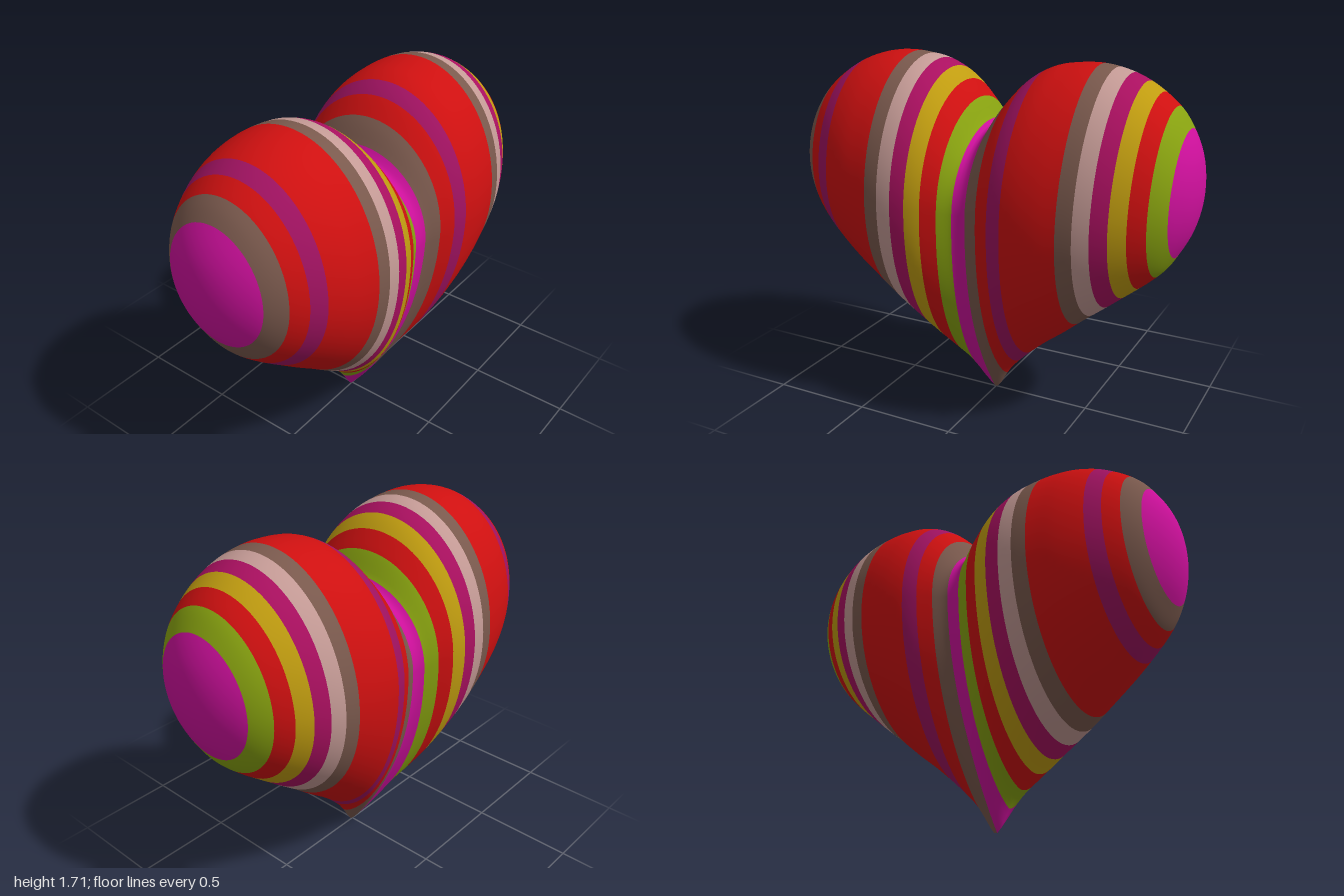
import * as THREE from 'three';

const colours = {
  red: 0xce1010, magenta: 0xce109c, brownGrey: 0x7a594d, dustyPink: 0xc49a95,
  raspberry: 0xaa1060, plum: 0x9f1260, mustard: 0xc09c10, olive: 0x88a210,
};

// Stripes from right to left: colour and the x where each one ends
const stripes = [
  ['magenta', -0.92], ['brownGrey', -0.85], ['red', -0.78], ['plum', -0.71], ['red', -0.45],
  ['brownGrey', -0.38], ['dustyPink', -0.31], ['raspberry', -0.24], ['mustard', -0.17],
  ['red', -0.10], ['olive', -0.035], ['magenta', 0.035], ['brownGrey', 0.105], ['red', 0.175],
  ['plum', 0.245], ['red', 0.5], ['brownGrey', 0.57], ['dustyPink', 0.64], ['raspberry', 0.71],
  ['mustard', 0.78], ['red', 0.85], ['olive', 0.92], ['magenta', 1],
];

// Half profile: x, top, bottom, half depth, height of the widest point
const profile = [
  [0, 1.40, 0, 0.385, 1.05], [0.03, 1.42, 0.03, 0.388, 1.05], [0.06, 1.47, 0.085, 0.40, 1.05],
  [0.1, 1.53, 0.145, 0.42, 1.06], [0.2, 1.635, 0.25, 0.463, 1.07], [0.3, 1.69, 0.34, 0.48, 1.08],
  [0.4, 1.71, 0.42, 0.48, 1.09], [0.5, 1.715, 0.505, 0.467, 1.10], [0.6, 1.70, 0.585, 0.448, 1.12],
  [0.7, 1.665, 0.667, 0.413, 1.14], [0.8, 1.605, 0.75, 0.36, 1.16], [0.87, 1.545, 0.82, 0.308, 1.175],
  [0.92, 1.475, 0.9, 0.253, 1.18], [0.96, 1.40, 0.98, 0.183, 1.19], [0.985, 1.325, 1.06, 0.114, 1.19],
  [1, 1.19, 1.19, 0, 1.19],
].map(([x, ...v]) => ({ a: Math.asin(x), v }));

// Slope of profile value k at knot i
function slope(i, k) {
  if (i === 0) return 0;
  const p = profile[i - 1], q = profile[Math.min(i + 1, profile.length - 1)];
  return (q.v[k] - p.v[k]) / (q.a - p.a);
}

// Smoothly interpolated profile values at x
function sectionAt(x) {
  const a = Math.asin(Math.min(1, Math.abs(x)));
  let i = 0;
  while (i < profile.length - 2 && profile[i + 1].a < a) i++;
  const p = profile[i], q = profile[i + 1], w = q.a - p.a, t = (a - p.a) / w;
  const t2 = t * t, t3 = t2 * t;
  return p.v.map((v, k) => v * (2 * t3 - 3 * t2 + 1) + q.v[k] * (3 * t2 - 2 * t3)
    + w * (slope(i, k) * (t3 - 2 * t2 + t) + slope(i + 1, k) * (t3 - t2)));
}

// Surface point: egg-shaped section, pointed below near the middle
function surfacePoint(s, angle) {
  const c = Math.cos(angle), n = Math.sin(angle);
  let x = s, y = 0, z = 0;
  for (let pass = 0; pass < 5; pass++) {
    const [top, bottom, depth, mid] = sectionAt(x);
    const power = c < 0 ? 1 + Math.exp(-Math.abs(x) / 0.09) : 1;
    y = mid + c * (c > 0 ? top - mid : mid - bottom);
    z = depth * Math.sign(n) * Math.abs(n) ** power;
    // Stripes lean slightly with height and depth
    const lean = 0.034 * (y - 1.2) + 0.03 * z;
    x = THREE.MathUtils.clamp(s + lean * (1 - s ** 20), -1, 1);
  }
  return [x, y, z];
}

export function createModel() {
  const names = Object.keys(colours);
  const materials = names.map((name) => {
    const m = new THREE.MeshStandardMaterial({ color: colours[name] });
    m.name = name;
    return m;
  });

  const segs = 88, positions = [], index = [];
  const geometry = new THREE.BufferGeometry();
  const addRing = (s) => {
    for (let j = 0; j < segs; j++) positions.push(...surfacePoint(s, (j / segs) * Math.PI * 2));
  };

  // Loft the body stripe by stripe, one material group each
  let ring = 0, from = -Math.PI / 2;
  addRing(-1);
  for (const [name, end] of stripes) {
    const to = Math.asin(end), rows = Math.ceil((to - from) / 0.018), start = index.length;
    for (let r = 1; r <= rows; r++, ring++) {
      addRing(Math.sin(from + ((to - from) * r) / rows));
      for (let j = 0; j < segs; j++) {
        const a = ring * segs + j, b = ring * segs + ((j + 1) % segs);
        index.push(a, b, a + segs, b, b + segs, a + segs);
      }
    }
    geometry.addGroup(start, index.length - start, names.indexOf(name));
    from = to;
  }
  geometry.setAttribute('position', new THREE.Float32BufferAttribute(positions, 3));
  geometry.setIndex(index);
  geometry.computeVertexNormals();

  const heart = new THREE.Mesh(geometry, materials);
  heart.name = 'stripedHeart';
  const group = new THREE.Group();
  group.name = 'heartOrnament';
  group.add(heart);
  return group;
}
